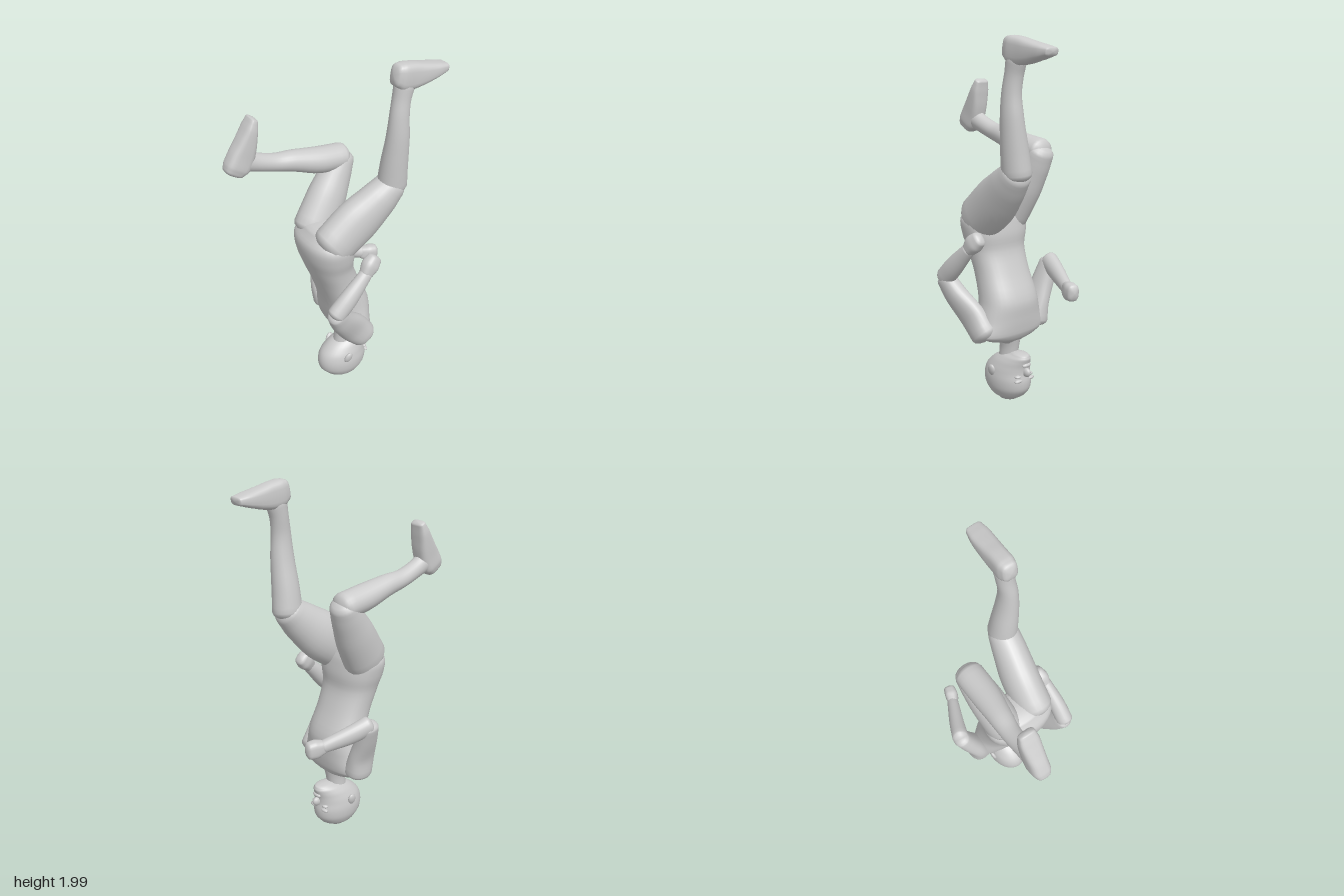
import * as THREE from 'three';

const V = (x, y, z) => new THREE.Vector3(x, y, z);
const material = new THREE.MeshStandardMaterial({ color: 0xcccccc });

// Smooth body through rings [x, y, z, radius in the xy plane, radius in z].
// axis: fixed ring normal (otherwise the path tangent), dome: end roundness, power: squareness.
function loft(name, rings, { axis = null, dome = 0.6, power = 2, sides = 24 } = {}) {
  const path = new THREE.CatmullRomCurve3(rings.map(r => V(r[0], r[1], r[2])));
  const radii = new THREE.CatmullRomCurve3(rings.map(r => V(r[3], r[4], 0)), false, 'catmullrom', 0.4);
  const steps = (rings.length - 1) * 4;
  const stations = [];
  for (let i = 0; i <= steps; i++) {
    const t = i / steps;
    const r = radii.getPoint(t);
    const T = axis ? axis.clone().normalize() : path.getTangent(t);
    stations.push({ c: path.getPoint(t), T, a: r.x, b: r.y });
  }
  const capRing = (s, angle, dir) => ({
    c: s.c.clone().addScaledVector(s.T, dir * dome * Math.min(s.a, s.b) * Math.sin(angle)),
    T: s.T, a: s.a * Math.cos(angle), b: s.b * Math.cos(angle),
  });
  const first = stations[0], last = stations[steps];
  for (const angle of [0.4, 0.8, 1.2, 1.5]) {
    stations.unshift(capRing(first, angle, -1));
    stations.push(capRing(last, angle, 1));
  }

  const pos = [], index = [];
  const soft = v => Math.sign(v) * Math.abs(v) ** (2 / power);
  for (const { c, T, a, b } of stations) {
    const B = V(0, 0, 1).addScaledVector(T, -T.z).normalize();
    const N = B.clone().cross(T);
    for (let j = 0; j < sides; j++) {
      const u = j / sides * Math.PI * 2;
      const p = c.clone().addScaledVector(N, a * soft(Math.cos(u))).addScaledVector(B, b * soft(Math.sin(u)));
      pos.push(p.x, p.y, p.z);
    }
  }
  for (let i = 0; i < stations.length - 1; i++) {
    for (let j = 0; j < sides; j++) {
      const k = (j + 1) % sides, p = i * sides, q = p + sides;
      index.push(p + j, p + k, q + j, p + k, q + k, q + j);
    }
  }
  const end = (stations.length - 1) * sides;
  for (let j = 1; j < sides - 1; j++) index.push(0, j + 1, j, end, end + j, end + j + 1);

  const geometry = new THREE.BufferGeometry();
  geometry.setAttribute('position', new THREE.Float32BufferAttribute(pos, 3));
  geometry.setIndex(index);
  geometry.computeVertexNormals();
  const mesh = new THREE.Mesh(geometry, material);
  mesh.name = name;
  return mesh;
}

function blob(name, x, y, z, sx, sy, sz, tilt = 0) {
  const mesh = new THREE.Mesh(new THREE.SphereGeometry(1, 16, 12), material);
  mesh.position.set(x, y, z);
  mesh.scale.set(sx, sy, sz);
  mesh.rotation.z = tilt;
  mesh.name = name;
  return mesh;
}

// Boot with its heel corner at the origin, toe along +x and sole facing +y
function foot(name, x, y, z, turn) {
  const group = new THREE.Group();
  group.name = name;
  group.add(loft('boot', [
    [0.01, -0.062, 0, 0.056, 0.042], [0.04, -0.072, 0, 0.068, 0.05], [0.095, -0.08, 0, 0.068, 0.05],
    [0.16, -0.083, 0, 0.056, 0.052], [0.24, -0.08, 0, 0.037, 0.052], [0.295, -0.077, 0, 0.022, 0.043],
  ], { axis: V(1, -0.17, 0), dome: 0.5, power: 3.2 }));
  group.position.set(x, y, z);
  group.rotation.z = turn;
  return group;
}

export function createModel() {
  const model = new THREE.Group();
  const up = V(0, 1, 0);
  const midZ = 0.012;

  // Torso, from shoulders (low) to hips (high)
  model.add(loft('torso', [
    [0.07, 0.355, midZ, 0.05, 0.07], [0.07, 0.385, midZ, 0.08, 0.17], [0.068, 0.42, midZ, 0.098, 0.22],
    [0.06, 0.5, midZ, 0.115, 0.195], [0.052, 0.6, midZ, 0.125, 0.172], [0.0, 0.74, midZ, 0.118, 0.16],
    [-0.045, 0.86, midZ, 0.12, 0.168], [-0.06, 0.95, midZ, 0.134, 0.19], [-0.068, 1.03, midZ, 0.13, 0.195],
    [-0.06, 1.09, midZ, 0.1, 0.14],
  ], { axis: up, dome: 0.3, power: 2.3, sides: 32 }));
  model.add(loft('neck', [
    [0.055, 0.24, midZ, 0.055, 0.052], [0.065, 0.32, midZ, 0.058, 0.05], [0.07, 0.4, midZ, 0.07, 0.065],
  ], { axis: up }));

  // Head, from crown (low) to chin (high)
  model.add(loft('head', [
    [0.055, 0.016, midZ, 0.062, 0.052], [0.054, 0.045, midZ, 0.11, 0.085], [0.052, 0.09, midZ, 0.145, 0.104],
    [0.052, 0.14, midZ, 0.152, 0.108], [0.056, 0.19, midZ, 0.142, 0.1], [0.08, 0.235, midZ, 0.124, 0.084],
    [0.115, 0.27, midZ, 0.1, 0.064], [0.15, 0.29, midZ, 0.06, 0.042],
  ], { axis: up, dome: 0.25, sides: 32 }));
  model.add(blob('nose', 0.203, 0.198, midZ, 0.03, 0.026, 0.018, 0.4));
  model.add(blob('lips', 0.203, 0.24, midZ, 0.014, 0.012, 0.03));
  for (const side of [1, -1]) {
    const z = midZ + side * 0.042;
    model.add(blob('eye', 0.18, 0.175, z, 0.017, 0.01, 0.02));
    model.add(blob('brow', 0.187, 0.152, z, 0.014, 0.01, 0.028));
    const ear = blob('ear', 0.033, 0.188, midZ + side * 0.104, 0.025, 0.036, 0.014, -0.3);
    ear.rotation.x = side * 0.2;
    model.add(ear);
  }

  // Left leg, kicking straight up
  model.add(loft('leftThigh', [
    [-0.07, 1.03, 0.11, 0.128, 0.1], [0.07, 1.14, 0.12, 0.135, 0.1],
    [0.19, 1.245, 0.14, 0.108, 0.09], [0.262, 1.315, 0.15, 0.083, 0.08],
  ]));
  model.add(loft('leftShin', [
    [0.268, 1.32, 0.15, 0.082, 0.075], [0.266, 1.43, 0.162, 0.075, 0.07], [0.267, 1.6, 0.182, 0.063, 0.057],
    [0.268, 1.72, 0.186, 0.053, 0.048], [0.28, 1.81, 0.181, 0.05, 0.046], [0.295, 1.88, 0.18, 0.058, 0.047],
  ]));
  model.add(foot('leftFoot', 0.235, 2.0, 0.18, 0));

  // Right leg, folded back at the knee
  model.add(loft('rightThigh', [
    [-0.06, 1.04, -0.085, 0.128, 0.1], [0.03, 1.19, -0.11, 0.115, 0.095],
    [0.1, 1.31, -0.13, 0.09, 0.083], [0.14, 1.385, -0.14, 0.07, 0.075],
  ]));
  model.add(loft('rightShin', [
    [0.135, 1.39, -0.14, 0.07, 0.075], [0.0, 1.405, -0.14, 0.071, 0.074], [-0.15, 1.44, -0.152, 0.057, 0.06],
    [-0.25, 1.456, -0.16, 0.048, 0.05], [-0.35, 1.487, -0.16, 0.049, 0.046], [-0.43, 1.52, -0.16, 0.058, 0.046],
  ]));
  model.add(foot('rightFoot', -0.545, 1.485, -0.16, 1.19));

  // Left arm, elbow swung back
  model.add(loft('leftUpperArm', [
    [0.065, 0.43, 0.195, 0.078, 0.068], [-0.01, 0.52, 0.218, 0.084, 0.052],
    [-0.1, 0.625, 0.255, 0.068, 0.052], [-0.15, 0.705, 0.278, 0.055, 0.048],
  ], { power: 2.3 }));
  model.add(loft('leftForearm', [
    [-0.155, 0.715, 0.28, 0.055, 0.047], [-0.08, 0.79, 0.28, 0.054, 0.045], [0.03, 0.9, 0.272, 0.038, 0.034],
  ]));
  model.add(loft('leftHand', [
    [0.035, 0.905, 0.27, 0.038, 0.032], [0.065, 0.94, 0.262, 0.05, 0.04], [0.095, 0.968, 0.255, 0.042, 0.034],
  ], { power: 2.6 }));

  // Right arm, bent with the forearm reaching forward
  model.add(loft('rightUpperArm', [
    [0.065, 0.43, -0.175, 0.078, 0.068], [0.06, 0.53, -0.198, 0.08, 0.052],
    [0.068, 0.64, -0.238, 0.066, 0.05], [0.08, 0.74, -0.272, 0.055, 0.047],
  ], { power: 2.3 }));
  model.add(loft('rightForearm', [
    [0.085, 0.75, -0.272, 0.054, 0.046], [0.17, 0.715, -0.24, 0.052, 0.042], [0.31, 0.67, -0.178, 0.037, 0.032],
  ]));
  model.add(loft('rightHand', [
    [0.315, 0.668, -0.176, 0.038, 0.03], [0.35, 0.662, -0.16, 0.05, 0.037], [0.385, 0.66, -0.15, 0.047, 0.034],
  ], { power: 2.8 }));

  return model;
}
